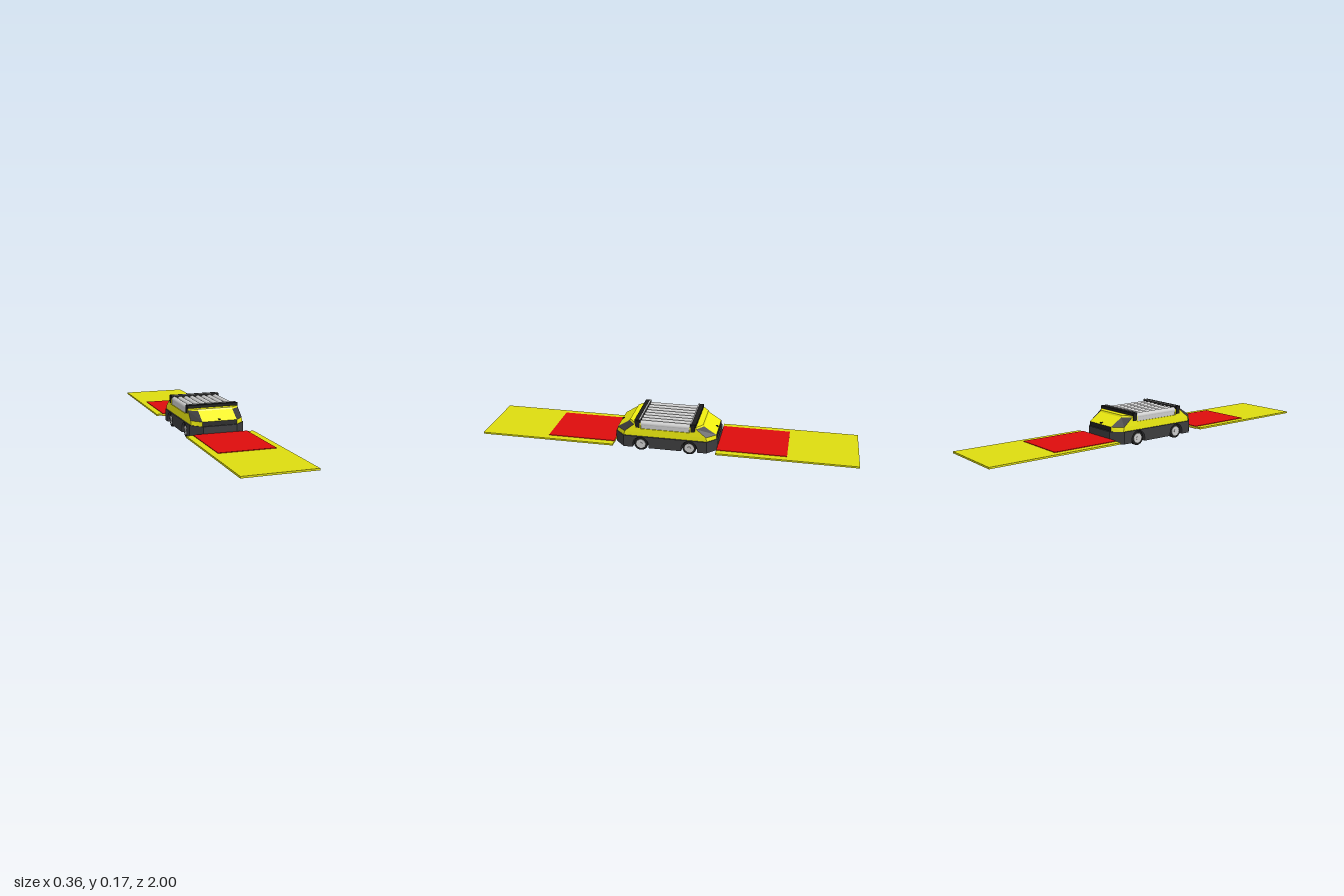
import * as THREE from 'three';

const mat = (color) => new THREE.MeshStandardMaterial({ color });

export function createModel() {
  const root = new THREE.Group();
  const yellow = mat(0xf0ee10), zoneYellow = mat(0xdddc10), red = mat(0xdd0c0c);
  const dark = mat(0x3c3c3e), black = mat(0x1c1c1c), steel = mat(0xcccccc);

  function add(name, geo, material, x = 0, y = 0, z = 0, parent = root) {
    const m = new THREE.Mesh(geo, material);
    m.name = name;
    m.position.set(x, y, z);
    parent.add(m);
    return m;
  }
  // Box given by its lower and upper limits
  const block = (name, m, [x0, x1], [y0, y1], [z0, z1], parent) =>
    add(name, new THREE.BoxGeometry(x1 - x0, y1 - y0, z1 - z0), m,
      (x0 + x1) / 2, (y0 + y1) / 2, (z0 + z1) / 2, parent);
  const cylX = (r, len, n = 32) => new THREE.CylinderGeometry(r, r, len, n).rotateZ(Math.PI / 2);
  const cylZ = (r, len, n = 24) => new THREE.CylinderGeometry(r, r, len, n).rotateX(Math.PI / 2);

  // Chassis plan: chamfered corners and notches for the four wheel wells
  const quarter = [[0.146, 0.08], [0.108, 0.08], [0.108, 0.18], [0.146, 0.18], [0.146, 0.222], [0.09, 0.275]];
  const mirror = (pts, sx, sz) => pts.map(([x, z]) => new THREE.Vector2(x * sx, z * sz));
  const plan = new THREE.Shape([
    ...mirror(quarter, 1, 1), ...mirror(quarter, -1, 1).reverse(),
    ...mirror(quarter, -1, -1), ...mirror(quarter, 1, -1).reverse(),
  ]);
  const hull = new THREE.ExtrudeGeometry(plan, { depth: 0.064, bevelEnabled: false });
  hull.rotateX(-Math.PI / 2);
  add('chassis', hull, dark, 0, 0.018, 0);

  // Arch panel filling the top of each wheel well
  const arch = new THREE.Shape();
  arch.moveTo(-0.05, 0.018);
  arch.lineTo(-0.042, 0.018);
  arch.lineTo(-0.042, 0.036);
  arch.absarc(0, 0.036, 0.042, Math.PI, 0, true);
  arch.lineTo(0.042, 0.018);
  arch.lineTo(0.05, 0.018);
  arch.lineTo(0.05, 0.082);
  arch.lineTo(-0.05, 0.082);
  const archGeo = new THREE.ExtrudeGeometry(arch, { depth: 0.038, bevelEnabled: false, curveSegments: 20 });
  archGeo.rotateY(Math.PI / 2);

  for (const sx of [-1, 1]) for (const sz of [-1, 1]) {
    add('wheelArch', archGeo, dark, sx > 0 ? 0.108 : -0.146, 0, sz * 0.13);
    const wheel = new THREE.Group();
    wheel.name = 'wheel';
    wheel.position.set(sx * 0.1275, 0.037, sz * 0.13);
    root.add(wheel);
    add('tyre', cylX(0.037, 0.019), black, 0, 0, 0, wheel);
    add('hub', cylX(0.025, 0.004), steel, sx * 0.01, 0, 0, wheel);
    add('hubCap', cylX(0.009, 0.004, 16), steel, sx * 0.0125, 0, 0, wheel);
    add('axle', cylX(0.008, 0.03, 12), black, -sx * 0.015, 0, 0, wheel);
  }

  // Deck between the two noses
  block('deck', yellow, [-0.139, 0.139], [0.082, 0.125], [-0.13, 0.13]);

  // Nose: stacked outlines [y, front z, side x, side z]
  const levels = [
    [0.082, 0.268, 0.139, 0.222], [0.105, 0.266, 0.139, 0.217],
    [0.148, 0.2, 0.137, 0.165], [0.157, 0.195, 0.136, 0.162],
  ];
  const rings = levels.map(([y, fz, sx, sz]) =>
    [[sx, 0.13], [sx, sz], [0.093, fz], [-0.093, fz], [-sx, sz], [-sx, 0.13]].map(([x, z]) => [x, y, z]));
  const faces = new Map([[yellow, []], [black, []], [dark, []]]);
  for (let r = 0; r < 3; r++) for (let s = 0; s < 6; s++) {
    const n = (s + 1) % 6;
    const a = rings[r][s], b = rings[r][n], c = rings[r + 1][n], d = rings[r + 1][s];
    const corner = s === 1 || s === 3;
    const m = r === 0 && s === 2 ? black : r === 1 && corner ? dark : yellow;
    faces.get(m).push(...a, ...c, ...b, ...a, ...d, ...c);
  }
  const top = rings[3];
  for (let s = 1; s < 5; s++) faces.get(yellow).push(...top[0], ...top[s + 1], ...top[s]);
  const noseParts = [['noseShell', yellow], ['noseGrille', black], ['cornerLampPanels', dark]].map(([name, m]) => {
    const g = new THREE.BufferGeometry();
    g.setAttribute('position', new THREE.Float32BufferAttribute(faces.get(m), 3));
    g.computeVertexNormals();
    const shell = m.clone();
    shell.side = THREE.DoubleSide;
    return [name, g, shell];
  });

  // Each end: nose, rail, underside studs and floor warning zones
  for (const turn of [0, Math.PI]) {
    const end = new THREE.Group();
    end.name = turn ? 'rearEnd' : 'frontEnd';
    end.rotation.y = turn;
    root.add(end);
    for (const [name, g, m] of noseParts) add(name, g, m, 0, 0, 0, end);
    block('frontSensor', black, [-0.004, 0.004], [0.108, 0.115], [0.25, 0.264], end);
    block('endRail', black, [-0.137, 0.137], [0.156, 0.172], [0.133, 0.163], end);
    block('railTrim', steel, [-0.133, 0.133], [0.171, 0.175], [0.133, 0.139], end);
    for (const s of [-1, 1])
      block('railEndPlate', black, [s * 0.138 - 0.002, s * 0.138 + 0.002], [0.13, 0.17], [0.135, 0.158], end);
    for (const x of [-0.051, -0.016, 0.016, 0.051])
      add('undersideStud', new THREE.CylinderGeometry(0.005, 0.004, 0.011, 12), black, x, 0.0135, 0.25, end);
    block('outerZone', zoneYellow, [-0.182, 0.182], [0.033, 0.042], [0.273, 1], end);
    block('innerZone', red, [-0.146, 0.146], [0.03, 0.045], [0.274, 0.638], end);
  }

  // Roller conveyor
  block('conveyorBed', steel, [-0.135, 0.135], [0.125, 0.146], [-0.128, 0.128]);
  for (let i = 0; i < 8; i++)
    add('roller', cylZ(0.0165, 0.264), steel, (i - 3.5) * 0.034, 0.149, 0);

  return root;
}
